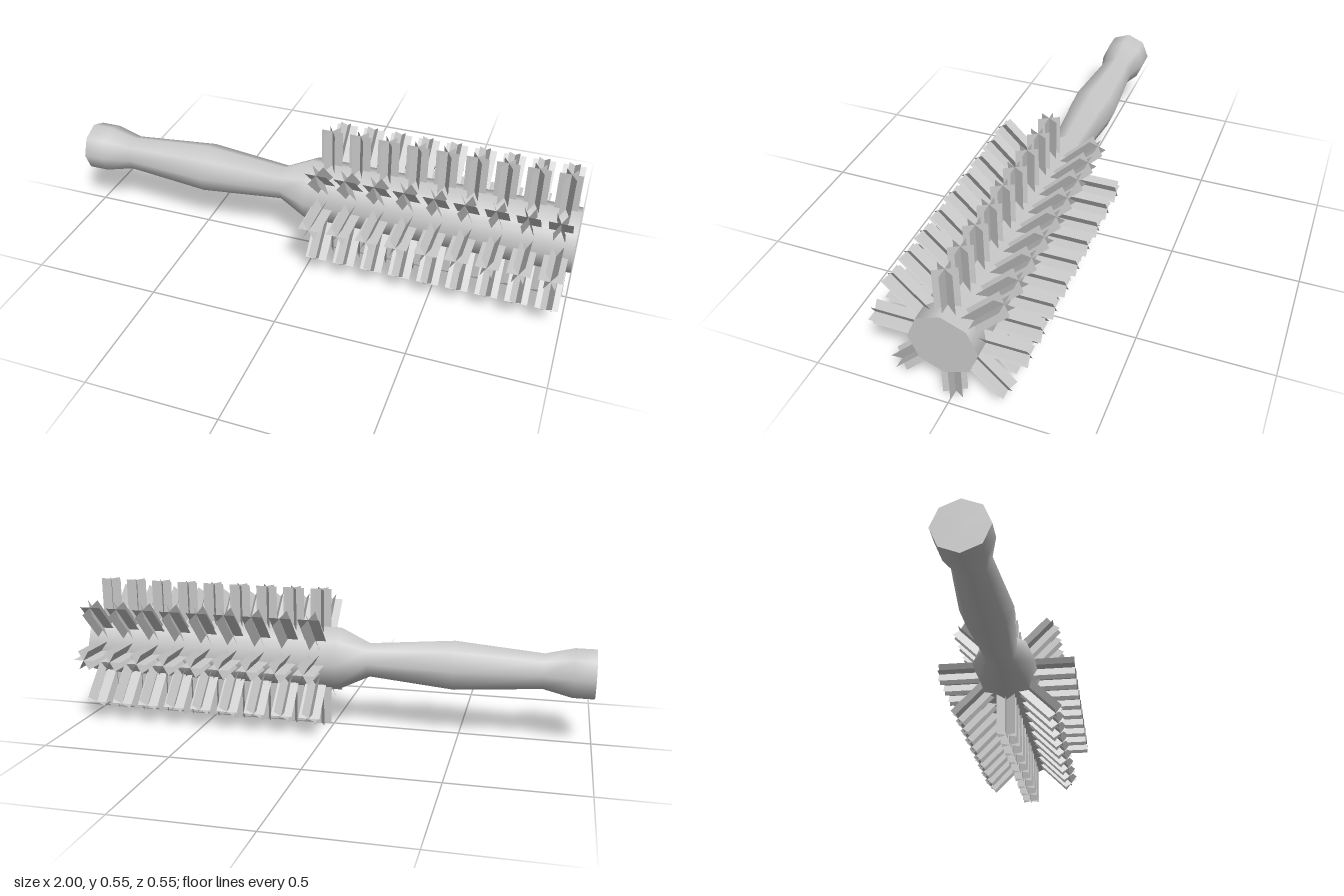
import * as THREE from 'three';
import { mergeGeometries } from 'three/addons/utils/BufferGeometryUtils.js';

const SIDES = 8;
const AXIS_Y = 0.274;

export function createModel() {
  const brush = new THREE.Group();
  brush.name = 'roundBrush';
  const material = new THREE.MeshStandardMaterial({ color: 0xcccccc });
  const tuftMaterial = new THREE.MeshStandardMaterial({ color: 0xcccccc, side: THREE.DoubleSide });

  const addMesh = (name, geometry, mat, parent = brush) => {
    const mesh = new THREE.Mesh(geometry, mat);
    mesh.name = name;
    parent.add(mesh);
    return mesh;
  };

  // Handle and barrel: one turned octagonal body lying along x, [x, radius]
  const profile = [
    [-1, 0.097], [-0.92, 0.097], [-0.81, 0.07], [-0.475, 0.098],
    [-0.145, 0.068], [-0.03, 0.124], [1, 0.124],
  ].map(([x, r]) => new THREE.Vector2(r, x));
  addMesh('handleAndBarrel', new THREE.LatheGeometry(profile, SIDES).rotateZ(-Math.PI / 2), material);

  // Flat end caps
  const addCap = (name, x, radius) => {
    const cap = new THREE.CircleGeometry(radius, SIDES).rotateY(Math.sign(x) * Math.PI / 2);
    addMesh(name, cap.translate(x, 0, 0), material);
  };
  addCap('handleEnd', -1, 0.097);
  addCap('barrelEnd', 1, 0.124);

  // One tuft: three thin strips crossing at 60 degrees, rooted in the barrel
  const inner = 0.1, outer = 0.274;
  const tuft = mergeGeometries([0, 1, 2].map((i) =>
    new THREE.PlaneGeometry(0.084, outer - inner)
      .translate(0, (inner + outer) / 2, 0)
      .rotateY(i * Math.PI / 3)));

  // Eight rows of nine tufts around the barrel
  for (let row = 0; row < SIDES; row++) {
    const bristleRow = new THREE.Group();
    bristleRow.name = 'bristleRow';
    bristleRow.rotation.x = row * Math.PI * 2 / SIDES;
    for (let i = 0; i < 9; i++) {
      addMesh('tuft', tuft, tuftMaterial, bristleRow).position.x = 0.053 + i * 0.111;
    }
    brush.add(bristleRow);
  }

  brush.position.y = AXIS_Y;
  const model = new THREE.Group();
  model.name = 'hairbrush';
  model.add(brush);
  return model;
}
